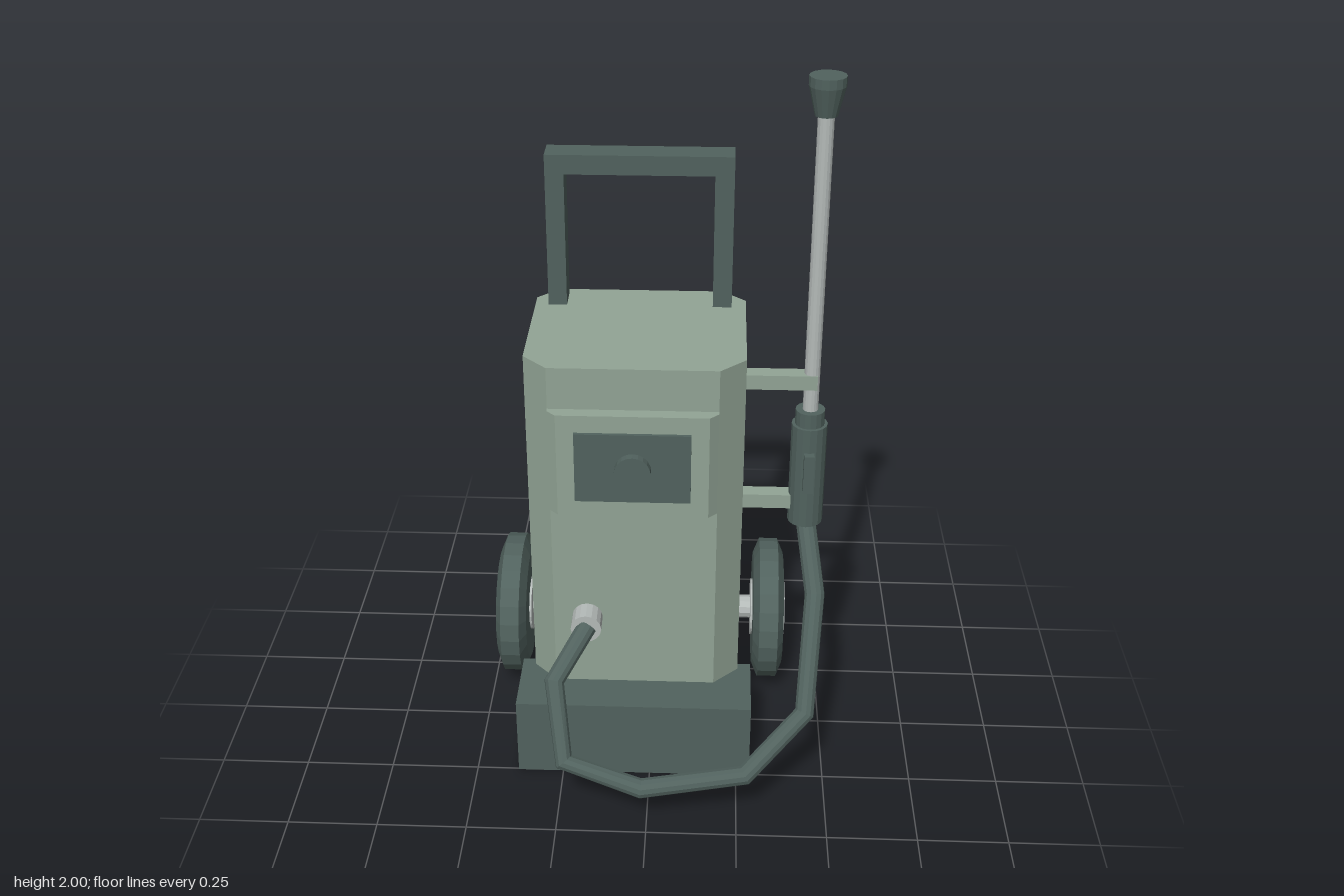
import * as THREE from 'three';

const mat = (color) => new THREE.MeshStandardMaterial({ color, flatShading: true });

export function createModel() {
  const root = new THREE.Group();
  const green = mat(0x92a495);
  const dark = mat(0x51625e);
  const metal = mat(0xb4bab8);

  const add = (name, geometry, material, parent = root) => {
    const mesh = new THREE.Mesh(geometry, material);
    mesh.name = name;
    parent.add(mesh);
    return mesh;
  };
  const group = (name) => {
    const g = new THREE.Group();
    g.name = name;
    root.add(g);
    return g;
  };
  // Box given by its minimum and maximum corners
  const box = (name, [x0, y0, z0], [x1, y1, z1], material, parent) => {
    const geometry = new THREE.BoxGeometry(x1 - x0, y1 - y0, z1 - z0);
    geometry.translate((x0 + x1) / 2, (y0 + y1) / 2, (z0 + z1) / 2);
    return add(name, geometry, material, parent);
  };
  // Prism standing from y0 to y1 over a plan outline of [x, z] points
  const prism = (name, plan, y0, y1, material) => {
    const shape = new THREE.Shape(plan.map(([x, z]) => new THREE.Vector2(x, -z)));
    const geometry = new THREE.ExtrudeGeometry(shape, { depth: y1 - y0, bevelEnabled: false });
    geometry.rotateX(-Math.PI / 2).translate(0, y0, 0);
    return add(name, geometry, material);
  };

  // Cabinet with chamfered corners
  prism('cabinet', [
    [-0.275, 0.133], [0.18, 0.133], [0.25, 0.065], [0.25, -0.31],
    [0.185, -0.372], [-0.28, -0.372], [-0.342, -0.31], [-0.342, 0.065],
  ], 0.19, 1.25, green);

  // Control panel, screen and knob
  prism('controlPanel', [
    [-0.275, 0.13], [0.18, 0.13], [0.18, 0.146], [0.156, 0.17], [-0.251, 0.17], [-0.275, 0.146],
  ], 0.825, 1.13, green);
  box('screen', [-0.203, 0.875, 0.165], [0.108, 1.08, 0.18], dark);
  add('knob', new THREE.CylinderGeometry(0.049, 0.049, 0.028, 20)
    .rotateX(Math.PI / 2).translate(-0.047, 0.975, 0.189), dark);

  // Front foot
  box('foot', [-0.38, 0, 0.042], [0.288, 0.24, 0.254], dark);

  // Push handle
  const handle = group('handle');
  box('handlePost', [-0.305, 1.24, -0.346], [-0.253, 1.64, -0.264], dark, handle);
  box('handlePost', [0.157, 1.24, -0.346], [0.21, 1.64, -0.264], dark, handle);
  box('handleBar', [-0.305, 1.635, -0.346], [0.21, 1.69, -0.264], dark, handle);

  // Wheels with bevelled treads, on one axle
  const axleY = 0.216, axleZ = -0.285;
  const tyreProfile = [[0, -0.046], [0.172, -0.046], [0.215, -0.028], [0.215, 0.028], [0.172, 0.046], [0, 0.046]]
    .map(([r, h]) => new THREE.Vector2(r, h));
  for (const [side, x] of [['right', -0.437], ['left', 0.344]]) {
    const wheel = group(side + 'Wheel');
    wheel.position.set(x, axleY, axleZ);
    add('tyre', new THREE.LatheGeometry(tyreProfile, 24).rotateZ(Math.PI / 2), dark, wheel);
    add('hub', new THREE.CylinderGeometry(0.086, 0.086, 0.105, 20).rotateZ(Math.PI / 2), metal, wheel);
  }
  add('axle', new THREE.CylinderGeometry(0.036, 0.036, 0.78, 12)
    .rotateZ(Math.PI / 2).translate(-0.046, axleY, axleZ), metal);

  // Spray wand: [name, bottom, top, bottom radius, top radius, material]
  const wand = group('wand');
  wand.position.set(0.426, 0, 0.016);
  for (const [name, y0, y1, r0, r1, material] of [
    ['grip', 0.735, 1.04, 0.049, 0.049, dark],
    ['collar', 1.04, 1.083, 0.04, 0.04, dark],
    ['rod', 1.08, 1.91, 0.021, 0.021, metal],
    ['nozzle', 1.9, 1.975, 0.029, 0.047, dark],
    ['nozzleRim', 1.975, 2, 0.047, 0.047, dark],
  ]) {
    add(name, new THREE.CylinderGeometry(r1, r0, y1 - y0, 16).translate(0, (y0 + y1) / 2, 0), material, wand);
  }
  box('trigger', [-0.014, 0.855, 0.03], [0.014, 0.97, 0.068], dark, wand);

  // Brackets holding the wand
  for (const y of [0.8, 1.17]) {
    box('bracket', [0.24, y - 0.021, -0.007], [0.44, y + 0.021, 0.038], green);
  }

  // Hose fitting and angular hose
  add('hoseFitting', new THREE.CylinderGeometry(0.043, 0.043, 0.07, 16)
    .rotateX(Math.PI / 2).translate(-0.18, 0.465, 0.161), metal);
  const hosePath = new THREE.CatmullRomCurve3([
    [-0.178, 0.465, 0.185], [-0.26, 0.375, 0.32], [-0.228, 0.19, 0.435], [-0.015, 0.13, 0.468],
    [0.27, 0.163, 0.44], [0.432, 0.3, 0.335], [0.456, 0.57, 0.15], [0.426, 0.75, 0.016],
  ].map((p) => new THREE.Vector3(...p)));
  // Sample exactly at the listed bends so the segments stay straight
  hosePath.getPointAt = (u, target) => hosePath.getPoint(u, target);
  hosePath.getTangentAt = (u, target) => hosePath.getTangent(u, target);
  add('hose', new THREE.TubeGeometry(hosePath, 7, 0.028, 12), dark);

  return root;
}
